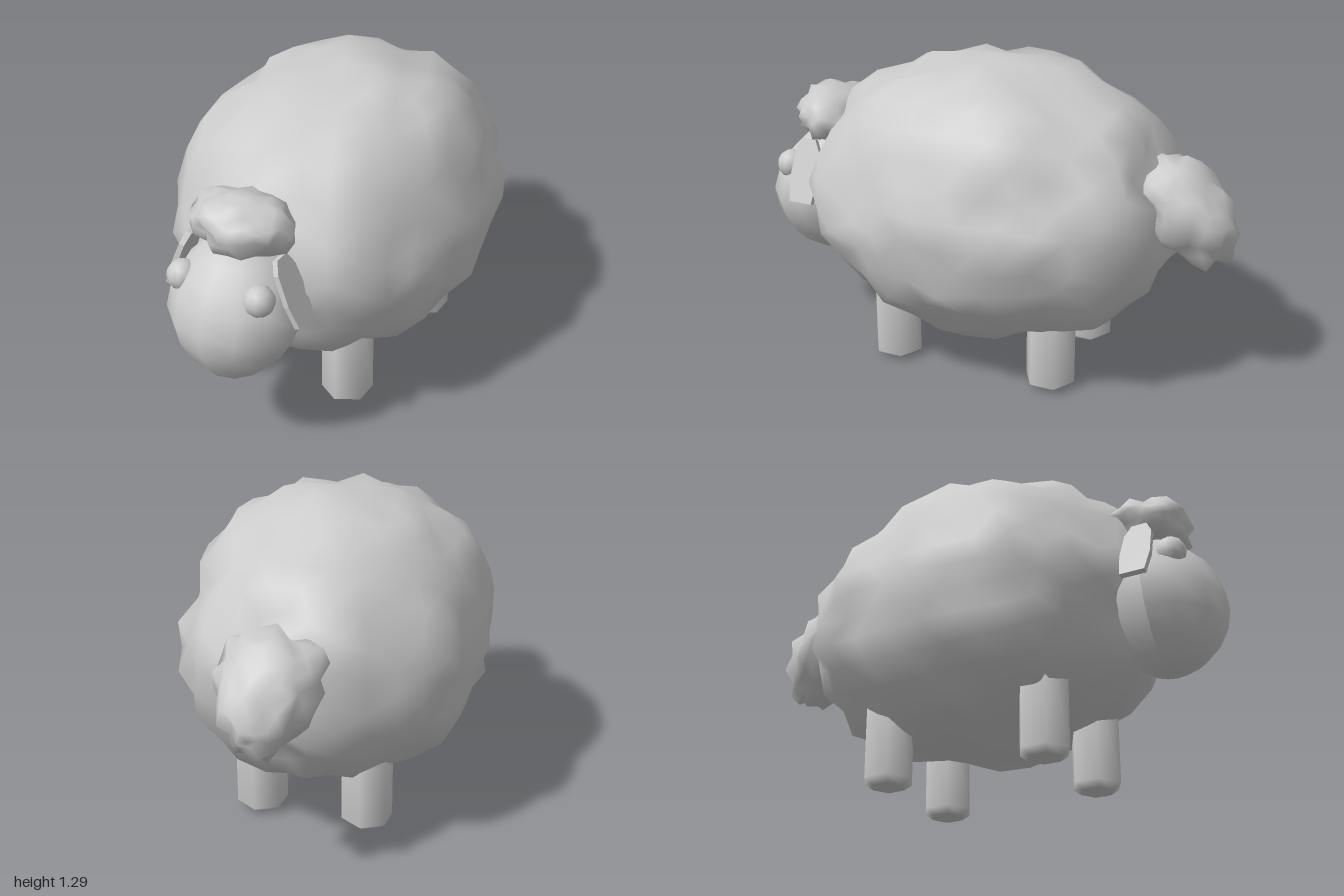
import * as THREE from 'three';
import { mergeVertices } from 'three/addons/utils/BufferGeometryUtils.js';

const material = new THREE.MeshStandardMaterial({ color: 0xcccccc });

function seeded(seed) {
  return () => {
    seed = (seed * 16807) % 2147483647;
    return seed / 2147483647;
  };
}

function add(parent, name, geometry, x = 0, y = 0, z = 0) {
  const mesh = new THREE.Mesh(geometry, material);
  mesh.name = name;
  mesh.position.set(x, y, z);
  parent.add(mesh);
  return mesh;
}

// Lumpy rounded blob: a subdivided icosahedron pushed in and out, smooth shaded.
// The axis points keep full size; belly shrinks the rest of the lower half and
// taper narrows the +z end.
function woolGeometry({ size, detail, bump, power, belly, taper, seed }) {
  const random = seeded(seed);
  let geo = new THREE.IcosahedronGeometry(1, detail);
  geo.deleteAttribute('normal');
  geo.deleteAttribute('uv');
  geo = mergeVertices(geo, 1e-3);
  const pos = geo.attributes.position;
  const v = new THREE.Vector3();
  for (let i = 0; i < pos.count; i++) {
    v.fromBufferAttribute(pos, i).normalize();
    const a = v.toArray().map(Math.abs);
    const norm = Math.pow(a.reduce((s, c) => s + Math.pow(c, power), 0), 1 / power);
    const wave = (Math.sin(9 * v.x + seed) + Math.sin(9 * v.y + 1) + Math.sin(9 * v.z + 2)) / 3;
    const lump = 0.4 * wave + 0.9 * (random() * 2 - 1);
    const pole = Math.max(...a) > 0.99;
    v.multiplyScalar((pole ? 1 : 1 + bump * (lump - 0.5)) / norm);
    v.x *= 1 - taper * v.z;
    v.multiply(size);
    if (v.y < 0 && !pole) v.y *= belly;
    pos.setXYZ(i, v.x, v.y, v.z);
  }
  geo.computeVertexNormals();
  return geo;
}

// Egg: narrower toward the chin, forehead sloping back
function headGeometry() {
  const geo = new THREE.SphereGeometry(1, 12, 10);
  const pos = geo.attributes.position;
  for (let i = 0; i < pos.count; i++) {
    const y = pos.getY(i);
    const taper = y < 0 ? 1 + 0.2 * y : 1;
    const lean = -0.05 * Math.max(y, 0);
    pos.setXYZ(i, pos.getX(i) * 0.262 * taper, y * 0.28, pos.getZ(i) * 0.235 + lean);
  }
  geo.computeVertexNormals();
  return geo;
}

// Thin blade, narrow at the root and square at the tip
function earGeometry() {
  const s = new THREE.Shape();
  s.moveTo(-0.03, 0);
  s.lineTo(-0.055, -0.05);
  s.lineTo(-0.062, -0.17);
  s.lineTo(-0.05, -0.265);
  s.lineTo(0.05, -0.265);
  s.lineTo(0.062, -0.17);
  s.lineTo(0.055, -0.05);
  s.lineTo(0.03, 0);
  s.closePath();
  const geo = new THREE.ExtrudeGeometry(s, { depth: 0.022, bevelEnabled: false });
  geo.translate(0, 0, -0.011);
  geo.rotateY(Math.PI / 2);
  return geo;
}

// Six-sided post with a chamfered foot
function legGeometry() {
  const profile = [[0, 0.005], [0.068, 0.01], [0.103, 0.035], [0.103, 0.46], [0, 0.46]]
    .map(([r, y]) => new THREE.Vector2(r, y));
  return new THREE.LatheGeometry(profile, 6);
}

export function createModel() {
  const sheep = new THREE.Group();
  sheep.name = 'sheep';

  // Fleece and tail
  const fleece = woolGeometry({
    size: new THREE.Vector3(0.615, 0.595, 0.775), detail: 5, bump: 0.055, power: 2.1, belly: 0.93, taper: 0, seed: 41,
  });
  add(sheep, 'fleece', fleece, 0, 0.695, -0.01);
  const tuft = woolGeometry({
    size: new THREE.Vector3(0.2, 0.16, 0.25), detail: 3, bump: 0.13, power: 2.1, belly: 1, taper: -0.25, seed: 97,
  });
  const tail = add(sheep, 'tail', tuft, 0.01, 0.755, -0.815);
  tail.rotation.x = -0.87;

  // Head
  const head = new THREE.Group();
  head.name = 'head';
  sheep.add(head);
  add(head, 'face', headGeometry(), 0, 0.61, 0.765);
  const forelock = woolGeometry({
    size: new THREE.Vector3(0.215, 0.125, 0.16), detail: 3, bump: 0.15, power: 2.1, belly: 0.95, taper: 0.2, seed: 23,
  });
  const lock = add(head, 'forelock', forelock, 0.005, 0.955, 0.715);
  lock.rotation.x = -0.15;
  for (const side of [1, -1]) {
    const label = side > 0 ? 'left' : 'right';
    add(head, label + 'Eye', new THREE.SphereGeometry(0.06, 10, 8), side * 0.165, 0.75, 0.853);
    const ear = add(head, label + 'Ear', earGeometry(), side * 0.185, 0.88, 0.745);
    ear.rotation.z = side * 0.38;
  }

  // Legs
  for (const [end, z] of [['front', 0.34], ['back', -0.34]]) {
    for (const side of [1, -1]) {
      add(sheep, end + (side > 0 ? 'Left' : 'Right') + 'Leg', legGeometry(), side * 0.223 + 0.004, 0, z);
    }
  }
  return sheep;
}
